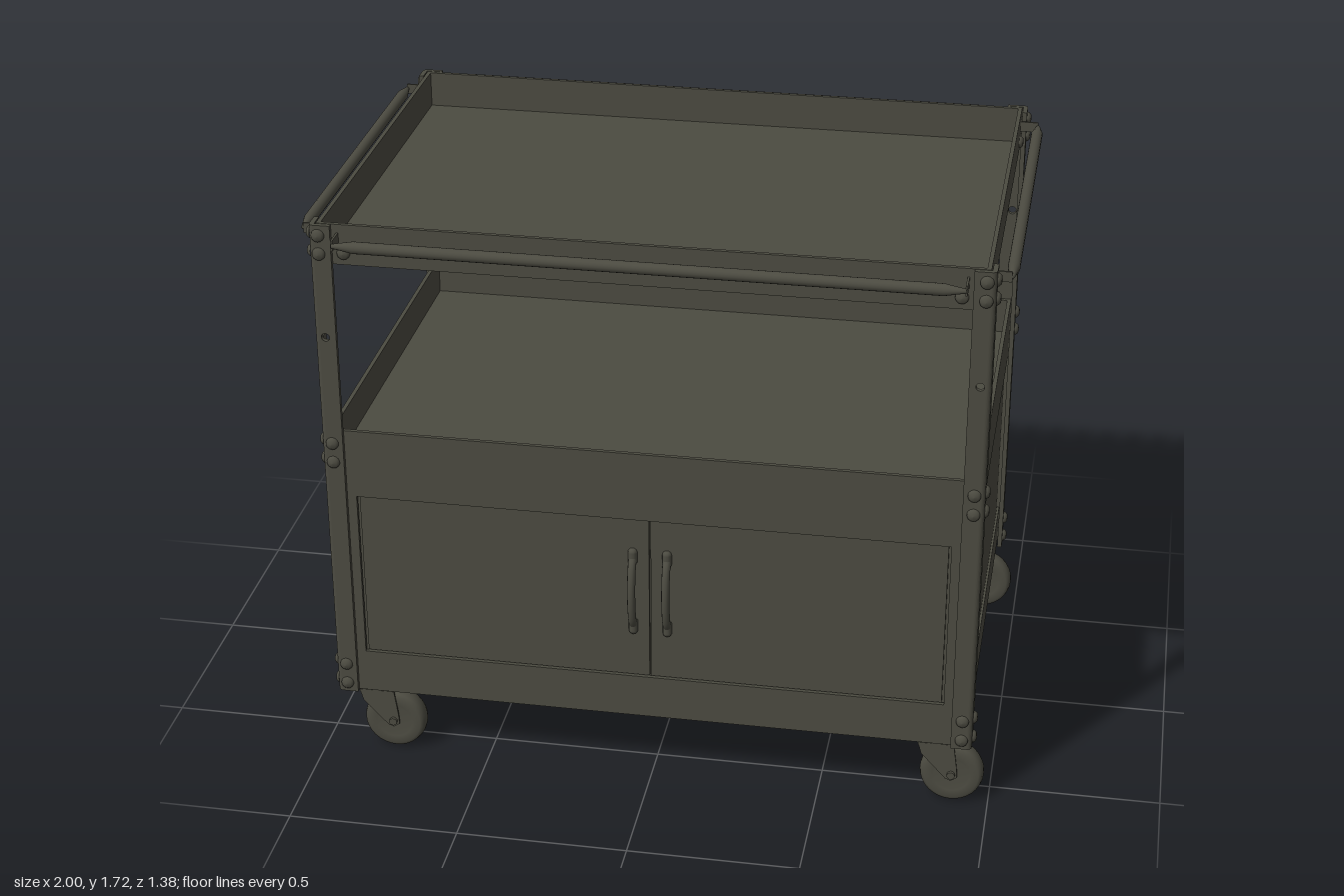
import * as THREE from 'three';

const paint = new THREE.MeshStandardMaterial({ color: 0x4c4b41 });
paint.name = 'dark olive grey paint';

function add(parent, geometry, name, x = 0, y = 0, z = 0) {
  const mesh = new THREE.Mesh(geometry, paint);
  mesh.name = name;
  mesh.position.set(x, y, z);
  parent.add(mesh);
  return mesh;
}

function box(parent, name, w, h, d, x, y, z) {
  return add(parent, new THREE.BoxGeometry(w, h, d), name, x, y, z);
}

function group(parent, name) {
  const g = new THREE.Group();
  g.name = name;
  parent.add(g);
  return g;
}

const lathe = (points, segments) =>
  new THREE.LatheGeometry(points.map(([r, y]) => new THREE.Vector2(r, y)), segments);

const W = 0.93, D = 0.615; // half width and depth of the sheet metal trays
const PX = 0.947, PZ = 0.632; // outer corners of the posts
const BASE = 0.21, TOP = 1.72;

// Open tray: a floor with four thin walls
function tray(parent, name, y0, y1, floorY) {
  const g = group(parent, name), t = 0.012, h = y1 - y0, y = (y0 + y1) / 2;
  box(g, 'trayFloor', 2 * W - t, t, 2 * D - t, 0, floorY, 0);
  for (const s of [-1, 1]) {
    box(g, 'trayLongWall', 2 * W, h, t, 0, y, s * (D - t / 2));
    box(g, 'trayEndWall', t, h, 2 * D - 2 * t, s * (W - t / 2), y, 0);
  }
}

// Flange of a corner post, pierced by one hole
function flange(side) {
  const a = side * 0.014, b = side * 0.061;
  const s = new THREE.Shape([
    new THREE.Vector2(Math.min(a, b), BASE), new THREE.Vector2(Math.max(a, b), BASE),
    new THREE.Vector2(Math.max(a, b), TOP), new THREE.Vector2(Math.min(a, b), TOP)]);
  const hole = new THREE.Path();
  hole.absarc(side * 0.03, 1.38, 0.012, 0, Math.PI * 2, true);
  s.holes.push(hole);
  return new THREE.ExtrudeGeometry(s, { depth: 0.014, bevelEnabled: false, curveSegments: 12 }).translate(0, 0, -0.014);
}

// Domed bolt head facing +z
const boltGeometry = lathe([[0.019, 0], [0.018, 0.005], [0.012, 0.011], [0, 0.013]], 14).rotateX(Math.PI / 2);

// Angle-iron post; its outer edge is the local origin, facing +x and +z
function post(parent, turn, x, z) {
  const g = group(parent, 'cornerPost');
  g.position.set(x, 0, z);
  g.rotation.y = turn;
  for (const side of [-1, 1]) {
    const face = group(g, side < 0 ? 'postFlange' : 'postReturnFlange');
    if (side > 0) face.rotation.y = Math.PI / 2;
    add(face, flange(side), 'flangePlate');
    for (const y of [1.69, 1.635, 1.045, 0.985, 0.305, 0.24]) {
      add(face, boltGeometry, 'bolt', side * (y > 1.6 ? 0.026 : 0.03), y, 0);
    }
  }
  // rounded outer edge of the angle
  const edge = new THREE.Shape();
  edge.moveTo(0, 0);
  edge.lineTo(0.014, 0);
  edge.absarc(0, 0, 0.014, 0, Math.PI / 2, false);
  edge.lineTo(0, 0);
  const eg = new THREE.ExtrudeGeometry(edge, { depth: TOP - BASE, bevelEnabled: false, curveSegments: 6 });
  eg.rotateX(-Math.PI / 2).rotateY(Math.PI / 2); // quarter now faces +x, +z after the turns below
  eg.rotateY(-Math.PI);
  add(g, eg, 'postEdge', -0.014, BASE, -0.014);
}

// Round rail with tapered ends, held by two thin straps; faces +z
function rail(parent, name, half, reach, turn, surface) {
  const g = group(parent, name);
  g.rotation.y = turn;
  const bar = lathe([[0, -half], [0.006, -half], [0.017, -half + 0.06], [0.017, half - 0.06], [0.006, half], [0, half]], 16);
  add(g, bar.rotateZ(Math.PI / 2), 'railBar', 0, 1.68, reach);
  for (const s of [-1, 1]) {
    const length = reach - surface;
    box(g, 'railStrap', 0.006, 0.03, length, s * half, 1.68, surface + length / 2);
    add(g, boltGeometry, 'railBolt', s * (half - 0.015), 1.635, surface);
  }
}

// Curved pull handle with two feet
function pull(parent, x) {
  const g = group(parent, 'doorPull');
  const curve = new THREE.CatmullRomCurve3([[0.52, 0.61], [0.54, 0.623], [0.58, 0.634], [0.63, 0.638],
    [0.68, 0.634], [0.72, 0.623], [0.74, 0.61]].map(([y, z]) => new THREE.Vector3(x, y, z)));
  add(g, new THREE.TubeGeometry(curve, 20, 0.012, 10), 'pullGrip');
  for (const y of [0.515, 0.745]) {
    add(g, new THREE.CapsuleGeometry(0.014, 0.028, 4, 10), 'pullFoot', x, y, 0.608);
  }
}

// Swivel caster: wheel trails towards +x
function caster(parent, x, z) {
  const g = group(parent, 'caster');
  g.position.set(x, 0, z);
  const tyre = lathe([[0, -0.026], [0.05, -0.026], [0.055, -0.03], [0.08, -0.03], [0.09, -0.022], [0.094, -0.008],
    [0.094, 0.008], [0.09, 0.022], [0.08, 0.03], [0.055, 0.03], [0.05, 0.026], [0, 0.026]], 32);
  add(g, tyre.rotateX(Math.PI / 2), 'wheel', 0.05, 0.094, 0);
  const axle = new THREE.CylinderGeometry(0.012, 0.012, 0.096, 12).rotateX(Math.PI / 2);
  add(g, axle, 'axle', 0.05, 0.1, 0);
  const side = new THREE.Shape([[-0.05, 0.2], [-0.04, 0.165], [0.033, 0.085], [0.05, 0.078], [0.068, 0.09],
    [0.066, 0.12], [0.055, 0.2]].map(([a, b]) => new THREE.Vector2(a, b)));
  for (const s of [-1, 1]) {
    const plate = new THREE.ExtrudeGeometry(side, { depth: 0.006, bevelEnabled: false });
    add(g, plate, 'forkPlate', 0, 0, s * 0.036 - 0.003);
  }
  box(g, 'forkBridge', 0.105, 0.008, 0.078, 0.0025, 0.198, 0);
  add(g, new THREE.CylinderGeometry(0.04, 0.04, 0.014, 20), 'swivel', 0, 0.206, 0);
}

export function createModel() {
  const cart = new THREE.Group();
  cart.name = 'serviceCart';

  tray(cart, 'topTray', 1.6, TOP, 1.607);
  tray(cart, 'middleTray', 0.88, 1.08, 0.965);
  tray(cart, 'bottomTray', BASE, 0.335, BASE + 0.007);

  // Cabinet walls, set slightly inside the trays
  const cabinet = group(cart, 'cabinet'), mid = 0.607, high = 0.56;
  box(cabinet, 'backPanel', 1.84, high, 0.012, 0, mid, -0.602);
  for (const s of [-1, 1]) {
    box(cabinet, 'sidePanel', 0.012, high, 1.2, s * 0.917, mid, 0);
    box(cabinet, 'doorStile', 0.07, 0.545, 0.012, s * 0.895, mid, 0.609);
    box(cabinet, 'door', 0.85, 0.52, 0.012, s * 0.4275, 0.608, 0.602);
    pull(cabinet, s * 0.05);
  }
  box(cabinet, 'doorHeader', 1.86, 0.014, 0.012, 0, 0.875, 0.609);
  box(cabinet, 'doorSill', 1.86, 0.01, 0.012, 0, 0.34, 0.609);
  box(cabinet, 'doorStop', 1.8, 0.54, 0.006, 0, 0.607, 0.59);

  [[1, 1], [1, -1], [-1, -1], [-1, 1]].forEach(([sx, sz], i) => {
    post(cart, i * Math.PI / 2, sx * PX, sz * PZ);
    caster(cart, sx * 0.84, sz * 0.565);
  });

  for (const s of [0, 1]) {
    rail(cart, 'longRail', 0.87, 0.674, s * Math.PI, D);
    rail(cart, 'endRail', 0.56, 0.983, Math.PI / 2 + s * Math.PI, W);
  }
  return cart;
}
